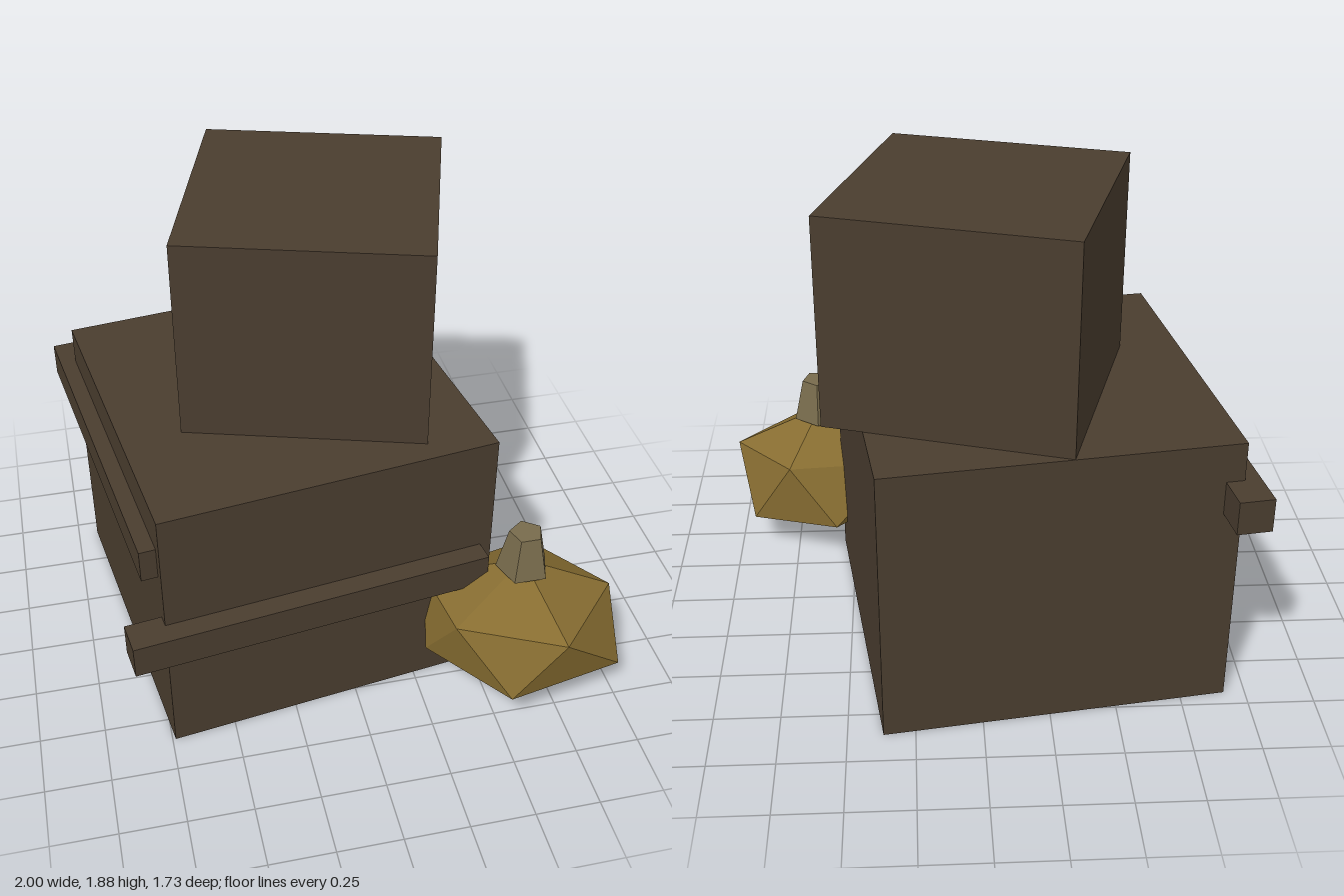
import * as THREE from 'three';

const mat = (name, color) => {
  const m = new THREE.MeshStandardMaterial({ color, flatShading: true });
  m.name = name;
  return m;
};

// Squat five-sided gourd: two offset rings between a top and a bottom point
function gourdGeometry() {
  const top = [0.64, 0.605, 0.545], bottom = [0.6, 0.035, 0.547];
  const upper = [[1, 0.43, 0.57], [0.725, 0.43, 0.865], [0.345, 0.43, 0.68], [0.307, 0.43, 0.36], [0.76, 0.455, 0.28]];
  const lower = [[1, 0.17, 0.75], [0.525, 0.19, 0.86], [0.28, 0.185, 0.52], [0.57, 0.2, 0.22], [0.93, 0.165, 0.375]];
  const pos = [];
  for (let i = 0; i < 5; i++) {
    const j = (i + 1) % 5;
    pos.push(...top, ...upper[j], ...upper[i]);
    pos.push(...upper[i], ...upper[j], ...lower[i]);
    pos.push(...upper[j], ...lower[j], ...lower[i]);
    pos.push(...lower[i], ...lower[j], ...bottom);
  }
  const g = new THREE.BufferGeometry();
  g.setAttribute('position', new THREE.Float32BufferAttribute(pos, 3));
  g.computeVertexNormals();
  return g;
}

export function createModel() {
  const model = new THREE.Group();
  const wood = mat('dark wood', 0x4a3d2f);
  const skin = mat('gourd ochre', 0x876d31);
  const stalk = mat('stem tan', 0x786b4c);

  const add = (name, geometry, material, x = 0, y = 0, z = 0, turn = 0) => {
    const mesh = new THREE.Mesh(geometry, material);
    mesh.name = name;
    mesh.position.set(x, y, z);
    mesh.rotation.y = turn;
    model.add(mesh);
  };
  const box = (name, w, h, d, x, y, z, turn) =>
    add(name, new THREE.BoxGeometry(w, h, d), wood, x, y, z, turn);

  // Stacked crates, each turned a little differently
  box('lowerCrate', 1.3, 1.09, 1.3, -0.185, 0.545, -0.13, 0.14);
  box('upperCrate', 0.912, 0.787, 0.912, -0.01, 1.0835 + 0.4, -0.197, -0.3);

  // Battens on the lower crate
  box('frontBatten', 1.395, 0.13, 0.13, -0.184, 0.545, 0.543, 0.14);
  box('sideBatten', 0.13, 0.13, 1.395, -0.838, 0.875, -0.13, 0.14);

  // Gourd with stem
  add('gourd', gourdGeometry(), skin);
  add('gourdStem', new THREE.CylinderGeometry(0.065, 0.105, 0.175, 5), stalk, 0.642, 0.6575, 0.547, Math.PI);

  return model;
}
